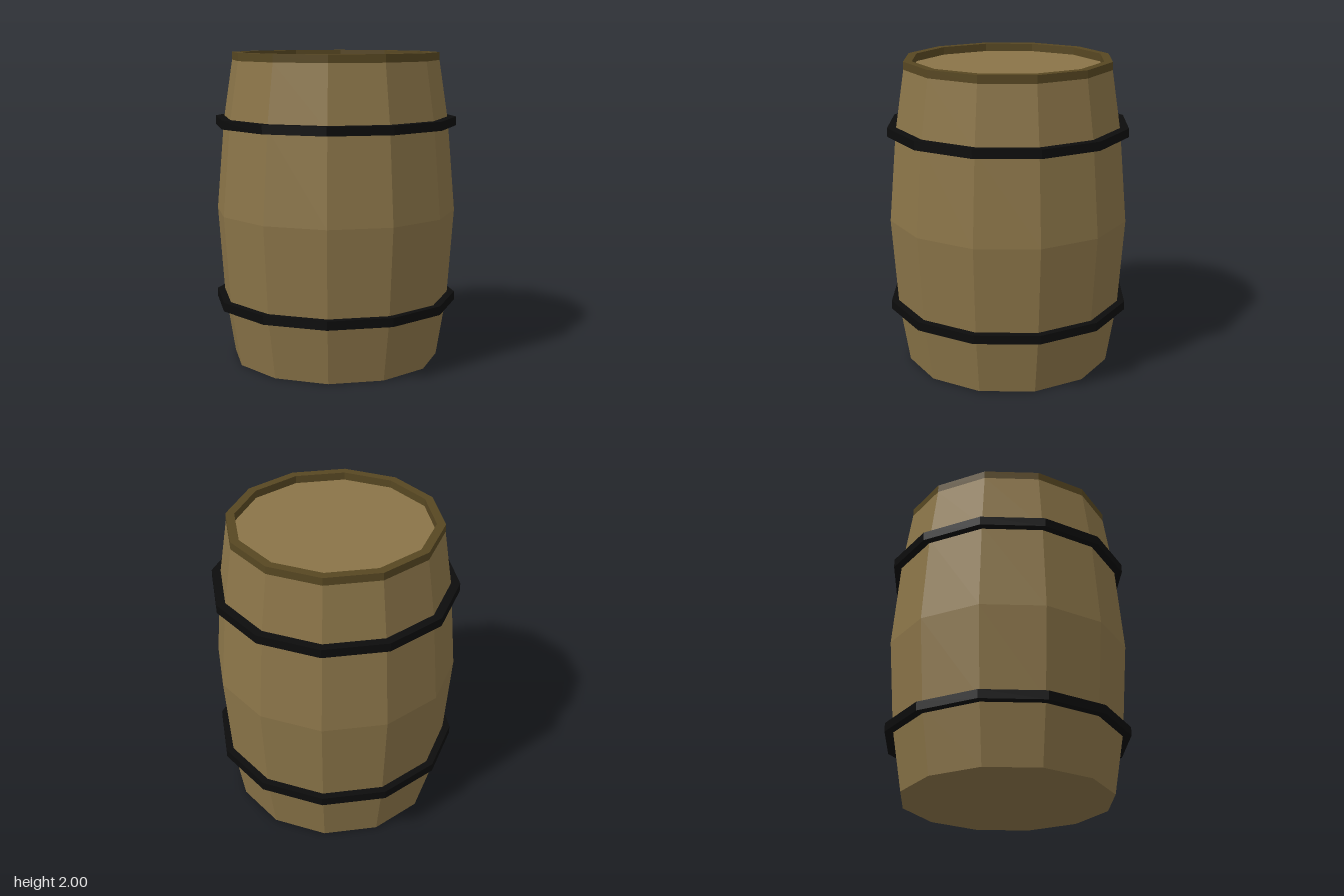
import * as THREE from 'three';

const SIDES = 12;

// Twelve-sided solid of revolution; profile runs up the outside
function turned(name, profile, color) {
  const points = profile.map(([r, y]) => new THREE.Vector2(r, y));
  const mesh = new THREE.Mesh(
    new THREE.LatheGeometry(points, SIDES),
    new THREE.MeshStandardMaterial({ color, flatShading: true })
  );
  mesh.name = name;
  return mesh;
}

export function createModel() {
  const WOOD = 0x8a7448, DARK_WOOD = 0x574722, IRON = 0x0c0c0c;
  const barrel = new THREE.Group();
  barrel.name = 'barrel';

  // Bulging staves with a closed bottom
  barrel.add(turned('staves', [
    [0, 0], [0.675, 0], [0.74, 0.4], [0.78, 0.98], [0.73, 1.56], [0.67, 1.95],
  ], WOOD));

  // Raised rim around the recessed lid
  barrel.add(turned('rim', [[0.67, 1.95], [0.67, 2], [0.615, 2], [0.615, 1.95]], DARK_WOOD));
  barrel.add(turned('lid', [[0.615, 1.95], [0, 1.95]], WOOD));

  // Iron hoops
  for (const [name, y, r] of [['lowerHoop', 0.4, 0.79], ['upperHoop', 1.56, 0.783]]) {
    const inner = r - 0.07, low = y - 0.028, high = y + 0.028;
    barrel.add(turned(name, [
      [inner, low], [r, low], [r, high], [inner, high], [inner, low],
    ], IRON));
  }
  return barrel;
}
